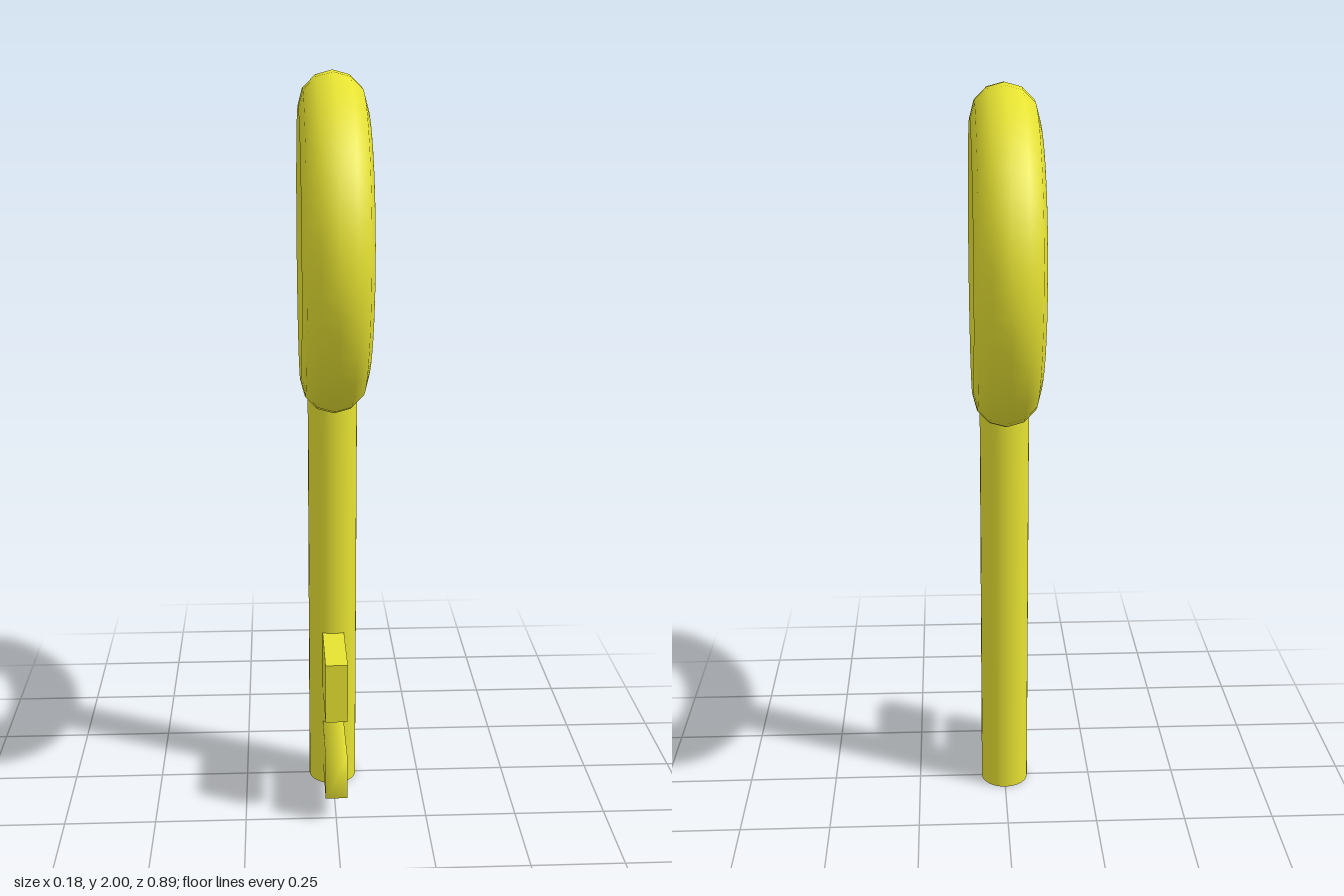
import * as THREE from 'three';
import { mergeVertices } from 'three/addons/utils/BufferGeometryUtils.js';

export function createModel() {
  const key = new THREE.Group();
  key.name = 'key';
  const material = new THREE.MeshStandardMaterial({ color: 0xe6e232 });

  const add = (name, geometry, x, y, z) => {
    const mesh = new THREE.Mesh(geometry, material);
    mesh.name = name;
    mesh.position.set(x, y, z);
    key.add(mesh);
    return mesh;
  };

  // Ring handle, standing in the y-z plane
  const ring = new THREE.TorusGeometry(0.355, 0.088, 12, 48).rotateY(Math.PI / 2);
  add('ringHandle', ring, 0, 1.557, 0);

  // Round shaft, its top sunk into the ring
  const shaftHeight = 1.18;
  add('shaft', new THREE.CylinderGeometry(0.067, 0.067, shaftHeight, 32), 0, shaftHeight / 2, 0);

  // Teeth run from inside the shaft toward the front
  const tooth = (bottom, top) => new THREE.BoxGeometry(0.06, top - bottom, 0.25);
  add('upperTooth', tooth(0.306, 0.474), 0, 0.39, 0.145);

  // The lower tooth shares its corners, so it shades smoothly
  let lower = tooth(0.073, 0.198);
  lower.deleteAttribute('normal');
  lower.deleteAttribute('uv');
  lower = mergeVertices(lower);
  lower.computeVertexNormals();
  add('lowerTooth', lower, 0, 0.1355, 0.145);

  return key;
}
